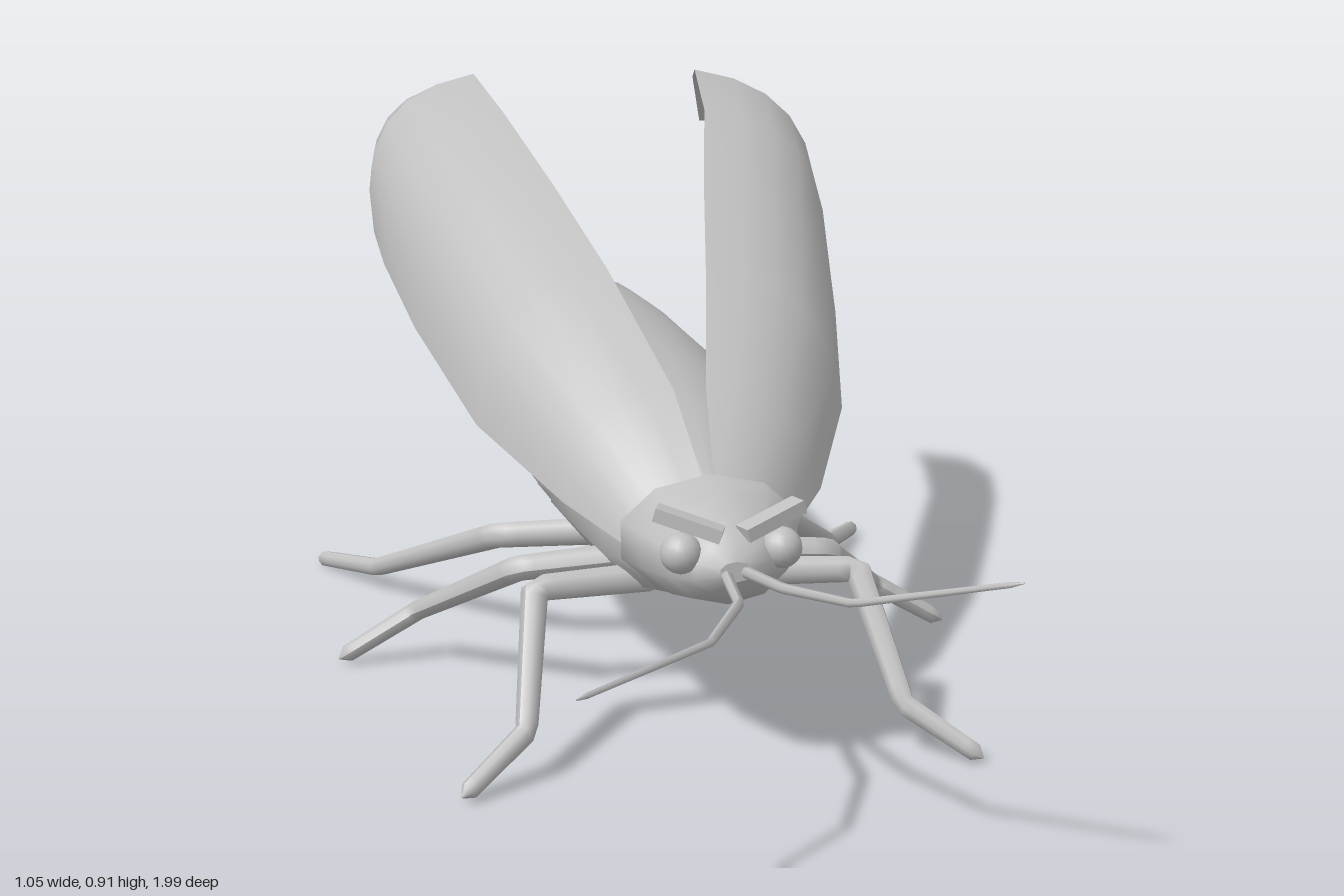
import * as THREE from 'three';

const shell = new THREE.MeshStandardMaterial({ color: 0xc0c0c0, side: THREE.DoubleSide });
shell.name = 'shell grey';

function part(parent, name, geometry) {
  const mesh = new THREE.Mesh(geometry, shell);
  mesh.name = name;
  parent.add(mesh);
  return mesh;
}

// Skin a grid of points; closed wraps each row into a ring
function skin(rows, closed) {
  const n = rows[0].length, index = [];
  for (let i = 0; i < rows.length - 1; i++) {
    for (let j = 0; j < (closed ? n : n - 1); j++) {
      const k = (j + 1) % n;
      const a = i * n + j, b = i * n + k, c = a + n, d = b + n;
      index.push(a, b, c, b, d, c);
    }
  }
  const g = new THREE.BufferGeometry();
  g.setAttribute('position', new THREE.Float32BufferAttribute(rows.flat(2), 3));
  g.setIndex(index);
  g.computeVertexNormals();
  return g;
}

// Ten-sided body along z from [z, bottom, top, halfWidth]; ends are capped flat
function bodyLoft(sections) {
  const ring = ([z, lo, hi, rx], s = 1) => Array.from({ length: 10 }, (_, j) => {
    const a = -j * Math.PI / 5;
    return [Math.sin(a) * rx * s, (lo + hi) / 2 + Math.cos(a) * (hi - lo) / 2 * s, z];
  });
  const first = sections[0], last = sections[sections.length - 1];
  return skin([ring(first, 0), ring(first), ...sections.map((s) => ring(s)), ring(last), ring(last, 0)], true);
}

// Tube through angular joints, tapering to a closed end
function limb(points, r0, r1, segments, sides) {
  const path = new THREE.CurvePath();
  const v = points.map((p) => new THREE.Vector3(...p));
  for (let i = 1; i < v.length; i++) path.add(new THREE.LineCurve3(v[i - 1], v[i]));
  const g = new THREE.TubeGeometry(path, segments, 1, sides, false);
  const pos = g.attributes.position, p = new THREE.Vector3();
  for (let i = 0; i <= segments; i++) {
    const c = path.getPointAt(i / segments);
    const r = i === segments ? 0.001 : r0 + (r1 - r0) * i / segments;
    for (let j = 0; j <= sides; j++) {
      const k = i * (sides + 1) + j;
      p.fromBufferAttribute(pos, k).sub(c).multiplyScalar(r).add(c);
      pos.setXYZ(k, p.x, p.y, p.z);
    }
  }
  g.computeVertexNormals();
  return g;
}

// Curved wing row: from inner to outer edge, bulging up and outward
function wingRow([inner, outer, bulge]) {
  const dx = outer[0] - inner[0], dy = outer[1] - inner[1];
  const len = Math.hypot(dx, dy);
  return Array.from({ length: 7 }, (_, j) => {
    const t = j / 6, b = bulge * 4 * t * (1 - t);
    return [
      inner[0] + dx * t - dy / len * b,
      inner[1] + dy * t + dx / len * b,
      inner[2] + (outer[2] - inner[2]) * t,
    ];
  });
}

export function createModel() {
  const model = new THREE.Group();
  model.name = 'beetle';

  // Head and thorax
  part(model, 'head', bodyLoft([
    [0.495, 0.325, 0.355, 0.025], [0.48, 0.3, 0.38, 0.06], [0.44, 0.275, 0.405, 0.09],
    [0.38, 0.26, 0.425, 0.118], [0.315, 0.25, 0.435, 0.14],
  ]));
  part(model, 'thorax', bodyLoft([
    [0.33, 0.25, 0.42, 0.125], [0.2, 0.21, 0.44, 0.15],
    [0.0, 0.185, 0.46, 0.165], [-0.155, 0.165, 0.475, 0.175],
  ]));

  // Overlapping abdomen rings, each flared toward the back
  const rings = [
    [-0.145, 0.17, 0.475, 0.17], [-0.29, 0.152, 0.485, 0.178], [-0.44, 0.138, 0.49, 0.18],
    [-0.58, 0.132, 0.487, 0.18], [-0.72, 0.15, 0.482, 0.17], [-0.85, 0.185, 0.475, 0.145],
  ];
  const abdomen = new THREE.Group();
  abdomen.name = 'abdomen';
  model.add(abdomen);
  for (let i = 0; i < rings.length - 1; i++) {
    const [z, lo, hi, rx] = rings[i];
    part(abdomen, 'abdomenRing' + (i + 1), bodyLoft([[z + 0.01, lo + 0.022, hi - 0.018, rx - 0.018], rings[i + 1]]));
  }
  part(abdomen, 'tail', bodyLoft([
    [-0.82, 0.215, 0.455, 0.12], [-0.87, 0.24, 0.45, 0.105],
    [-0.92, 0.29, 0.425, 0.07], [-0.95, 0.345, 0.385, 0.025],
  ]));

  // Paired parts
  const elytron = [
    [[0.008, 0.42, 0.31], [0.117, 0.325, 0.31], 0.02],
    [[0.025, 0.53, 0.17], [0.2, 0.37, 0.196], 0.045],
    [[0.08, 0.67, -0.09], [0.3, 0.435, -0.05], 0.065],
    [[0.128, 0.77, -0.33], [0.367, 0.535, -0.345], 0.075],
    [[0.18, 0.867, -0.57], [0.4, 0.61, -0.55], 0.08],
    [[0.208, 0.917, -0.79], [0.408, 0.65, -0.66], 0.085],
    [[0.222, 0.895, -0.875], [0.402, 0.69, -0.75], 0.07],
    [[0.25, 0.803, -0.943], [0.392, 0.72, -0.8], 0.03],
  ];
  const hindWing = [
    [[0.004, 0.43, 0.3], [0.02, 0.425, 0.3], 0.001],
    [[0.008, 0.475, 0.05], [0.14, 0.402, 0.05], 0.018],
    [[0.012, 0.505, -0.25], [0.195, 0.395, -0.25], 0.022],
    [[0.015, 0.515, -0.55], [0.222, 0.385, -0.6], 0.022],
    [[0.02, 0.515, -0.84], [0.225, 0.375, -0.9], 0.02],
    [[0.035, 0.51, -0.87], [0.22, 0.372, -0.965], 0.018],
    [[0.09, 0.485, -0.955], [0.215, 0.375, -0.985], 0.008],
    [[0.15, 0.44, -0.998], [0.21, 0.385, -0.995], 0.002],
  ];
  const legs = {
    frontLeg: [[0.07, 0.25, 0.21], [0.25, 0.25, 0.235], [0.285, 0.08, 0.38], [0.388, 0.014, 0.45]],
    middleLeg: [[0.07, 0.24, 0.065], [0.25, 0.225, 0.05], [0.39, 0.095, -0.165], [0.522, 0.014, -0.178]],
    hindLeg: [[0.08, 0.21, -0.18], [0.25, 0.2, -0.22], [0.425, 0.045, -0.58], [0.522, 0.016, -0.757]],
  };
  for (const side of [1, -1]) {
    const word = side > 0 ? 'left ' : 'right ';
    const flip = (p) => [p[0] * side, p[1], p[2]];
    const wing = (rows) => {
      const r = rows.map((row) => wingRow(row).map(flip));
      // Keep the outer face upward on both sides
      return skin(side > 0 ? r.map((row) => row.reverse()) : r, false);
    };
    part(model, word + 'wingCase', wing(elytron));
    part(model, word + 'hindWing', wing(hindWing));
    for (const [name, points] of Object.entries(legs)) {
      part(model, word + name, limb(points.map(flip), 0.024, 0.014, 36, 8));
    }

    // Eyes and slanted brows
    part(model, word + 'eye', new THREE.SphereGeometry(0.03, 16, 12)).position.set(0.073 * side, 0.362, 0.46);
    const brow = part(model, word + 'brow', new THREE.BoxGeometry(0.1, 0.02, 0.03));
    brow.position.set(0.06 * side, 0.402, 0.452);
    brow.rotation.set(0, 0.35 * side, 0.3 * side);
  }

  // Antennae, each with its own sweep
  part(model, 'left antenna', limb([
    [0.012, 0.335, 0.47], [0.03, 0.36, 0.64], [0.08, 0.39, 0.81], [0.243, 0.465, 0.995],
  ], 0.009, 0.004, 30, 6));
  part(model, 'right antenna', limb([
    [-0.012, 0.333, 0.47], [-0.03, 0.342, 0.64], [-0.106, 0.35, 0.81], [-0.308, 0.355, 0.995],
  ], 0.009, 0.004, 30, 6));

  return model;
}
